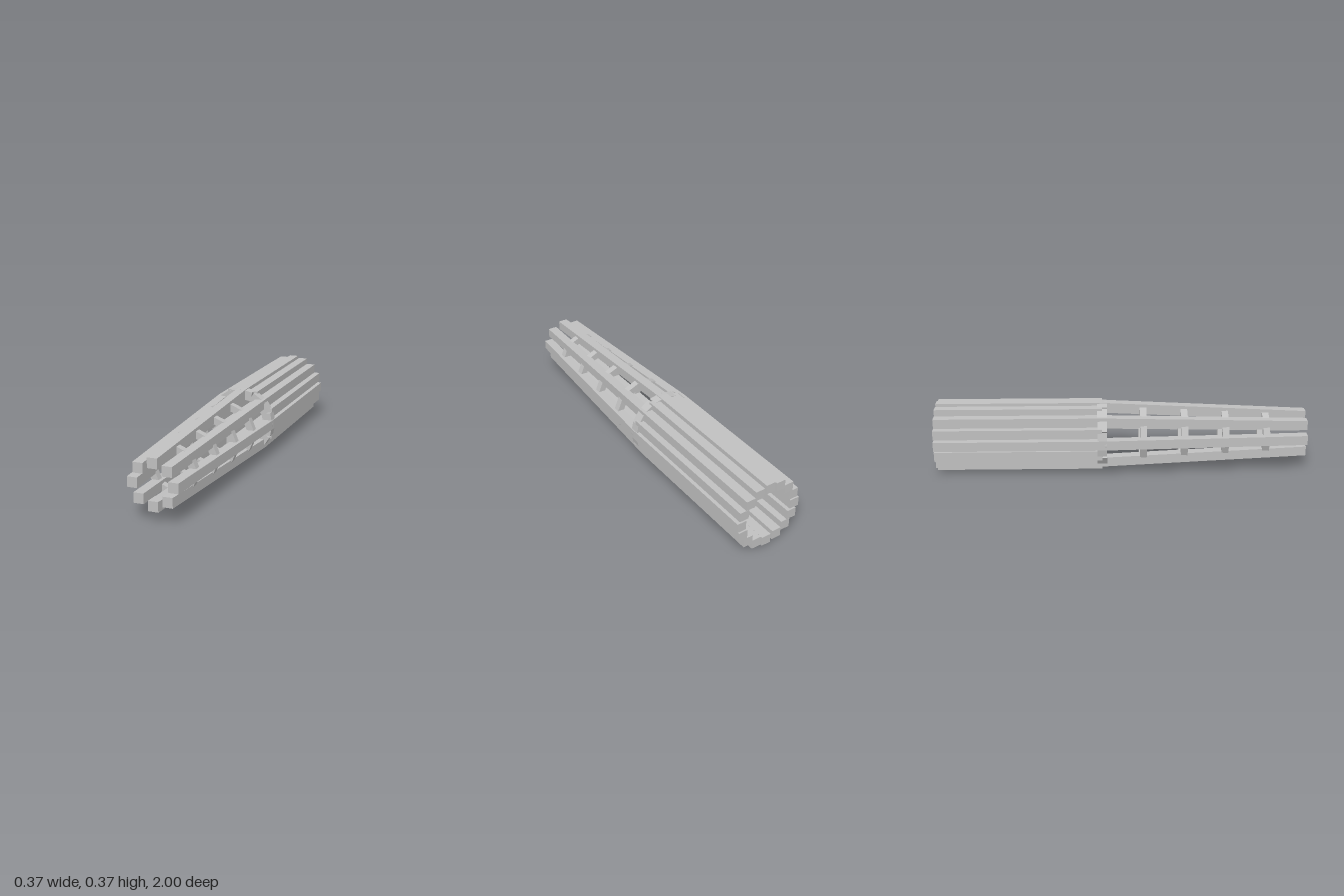
import * as THREE from 'three';

const AXIS_Y = 0.189;      // height of the tube's centre line
const BEAM = 0.0515;       // square beam section
const REAR_R = 0.16;       // beam circle radius at the joint and behind it
const TIP_R = 0.1043;      // beam circle radius at the front tip
const JOINT_Z = -0.105;

export function createModel() {
  const model = new THREE.Group();
  const grey = new THREE.MeshStandardMaterial({ color: 0xc0c0c0 });
  grey.name = 'grey';

  const group = (name) => {
    const g = new THREE.Group();
    g.name = name;
    g.position.y = AXIS_Y;
    model.add(g);
    return g;
  };

  // Upright square beam whose ends sit at radius r0 (z0) and r1 (z1)
  const beam = (parent, name, angle, r0, z0, r1, z1) => {
    const geo = new THREE.BoxGeometry(BEAM, BEAM, z1 - z0);
    geo.translate(0, 0, (z0 + z1) / 2);
    const p = geo.attributes.position;
    for (let i = 0; i < p.count; i++) {
      const t = (p.getZ(i) - z0) / (z1 - z0);
      const r = r0 + (r1 - r0) * t;
      p.setX(i, p.getX(i) + r * Math.cos(angle));
      p.setY(i, p.getY(i) + r * Math.sin(angle));
    }
    geo.computeVertexNormals();
    const mesh = new THREE.Mesh(geo, grey);
    mesh.name = name;
    parent.add(mesh);
  };

  // Ring of straight bars joining neighbouring beam centres
  const ring = (name, count, r, z, thickness, depth) => {
    const g = group(name);
    const step = (Math.PI * 2) / count;
    const geo = new THREE.BoxGeometry(thickness, 2 * r * Math.sin(step / 2), depth);
    for (let i = 0; i < count; i++) {
      const a = (i + 0.5) * step;
      const mid = r * Math.cos(step / 2);
      const mesh = new THREE.Mesh(geo, grey);
      mesh.name = 'crossBar';
      mesh.position.set(mid * Math.cos(a), mid * Math.sin(a), z);
      mesh.rotation.z = a;
      g.add(mesh);
    }
  };

  // Straight rear section: sixteen beams
  const rear = group('rearBeams');
  for (let i = 0; i < 16; i++) {
    beam(rear, 'rearBeam', (i * Math.PI) / 8, REAR_R, -1, REAR_R, JOINT_Z);
  }

  // Tapering front section: eight beams
  const front = group('frontBeams');
  for (let i = 0; i < 8; i++) {
    beam(front, 'frontBeam', (i * Math.PI) / 4, REAR_R, JOINT_Z, TIP_R, 1);
  }

  // Joint ring and four bracing rings along the taper
  ring('jointRing', 16, REAR_R, JOINT_Z, BEAM, BEAM);
  for (let i = 1; i < 5; i++) {
    const t = i / 5;
    ring('braceRing', 8, REAR_R + (TIP_R - REAR_R) * t, JOINT_Z + (1 - JOINT_Z) * t, 0.036, 0.036);
  }

  return model;
}
